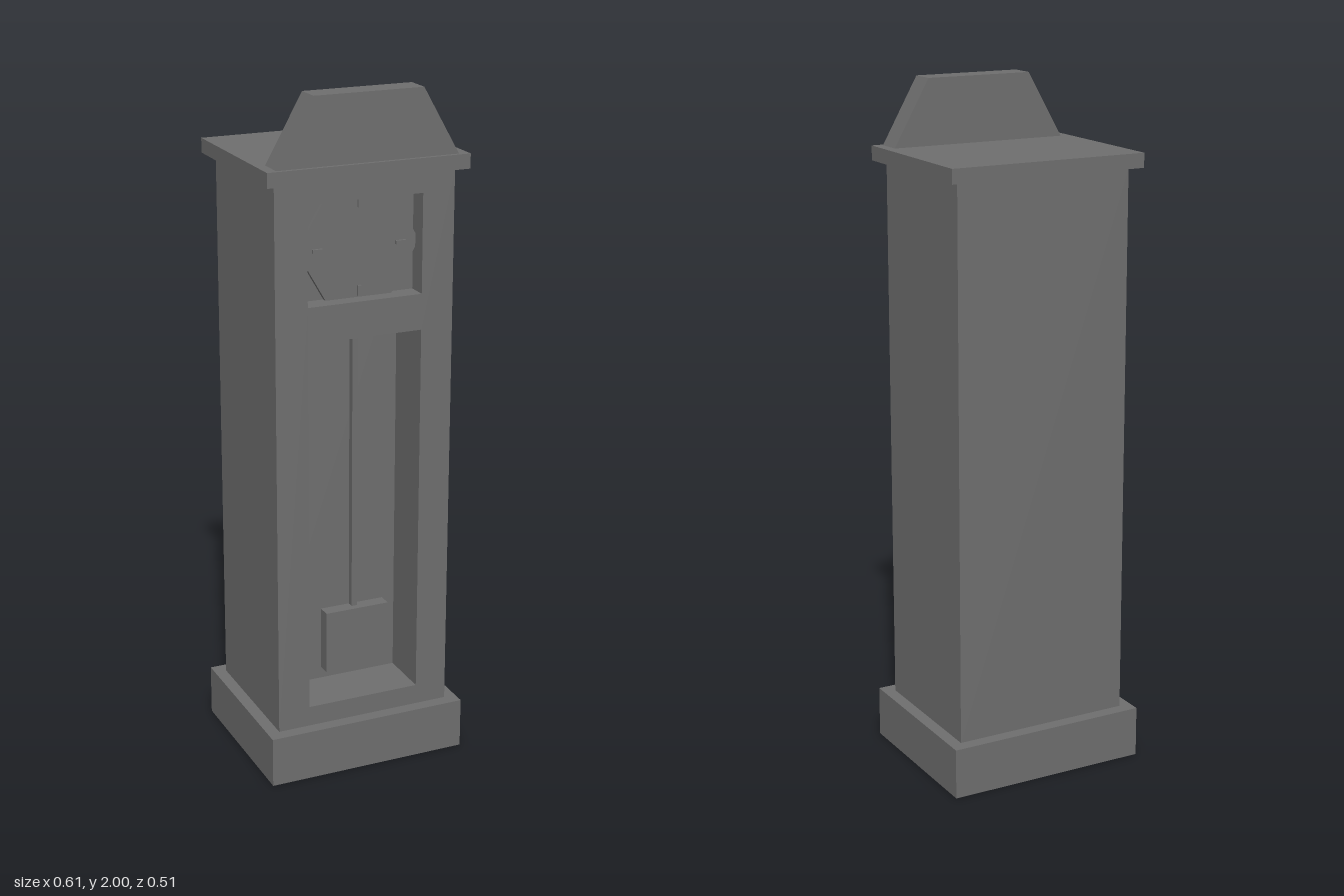
import * as THREE from 'three';

const material = new THREE.MeshStandardMaterial({ color: 0x6f6f6f });

export function createModel() {
  const clock = new THREE.Group();
  clock.name = 'longcaseClock';

  function add(name, geometry, x = 0, y = 0, z = 0, parent = clock) {
    const mesh = new THREE.Mesh(geometry, material);
    mesh.name = name;
    mesh.position.set(x, y, z);
    parent.add(mesh);
    return mesh;
  }
  // Box given by its width, bottom/top and back/front
  function block(name, width, y0, y1, z0, z1, parent = clock) {
    return add(name, new THREE.BoxGeometry(width, y1 - y0, z1 - z0), 0, (y0 + y1) / 2, (z0 + z1) / 2, parent);
  }
  function rectangle(path, halfWidth, y0, y1) {
    path.moveTo(-halfWidth, y0).lineTo(halfWidth, y0).lineTo(halfWidth, y1).lineTo(-halfWidth, y1).closePath();
    return path;
  }
  // Slice of the case with rectangular openings cut through it
  function frame(name, z0, z1, openings) {
    const shape = rectangle(new THREE.Shape(), 0.268, 0.15, 1.768);
    for (const [y0, y1] of openings) shape.holes.push(rectangle(new THREE.Path(), 0.172, y0, y1));
    add(name, new THREE.ExtrudeGeometry(shape, { depth: z1 - z0, bevelEnabled: false }), 0, 0, z0);
  }

  // Plinth, case and cornice
  const dialWindow = [1.42, 1.706];
  const pendulumWindow = [0.21, 1.316];
  block('plinth', 0.608, 0, 0.15, -0.253, 0.253);
  block('caseBack', 0.536, 0.15, 1.768, -0.215, 0.055);
  frame('caseMiddle', 0.055, 0.155, [pendulumWindow]);
  frame('caseFront', 0.155, 0.215, [dialWindow, pendulumWindow]);
  block('cornice', 0.598, 1.768, 1.81, -0.246, 0.246);

  // Sloped crest along the front of the roof
  const crest = new THREE.Shape();
  crest.moveTo(-0.269, 1.81).lineTo(0.269, 1.81).lineTo(0.161, 2).lineTo(-0.161, 2).closePath();
  add('crest', new THREE.ExtrudeGeometry(crest, { depth: 0.076, bevelEnabled: false }), 0, 0, 0.158);

  // Six-sided dial with four hour marks
  const dial = new THREE.Group();
  dial.name = 'dial';
  dial.position.set(0, 1.564, 0.16);
  clock.add(dial);
  const face = new THREE.CylinderGeometry(0.183, 0.183, 0.02, 6).toNonIndexed();
  face.rotateY(Math.PI / 2).rotateX(Math.PI / 2).computeVertexNormals();
  add('dialFace', face, 0, 0, 0, dial);
  for (let i = 0; i < 4; i++) {
    const angle = i * Math.PI / 2;
    const mark = add('hourMark', new THREE.BoxGeometry(0.03, 0.01, 0.016),
      0.125 * Math.cos(angle), 0.125 * Math.sin(angle), 0.01, dial);
    mark.rotation.z = angle;
  }

  // Pendulum
  const pendulum = new THREE.Group();
  pendulum.name = 'pendulum';
  clock.add(pendulum);
  block('pendulumRod', 0.018, 0.47, 1.316, 0.13, 0.15, pendulum);
  block('pendulumBob', 0.196, 0.286, 0.475, 0.13, 0.17, pendulum);

  return clock;
}
